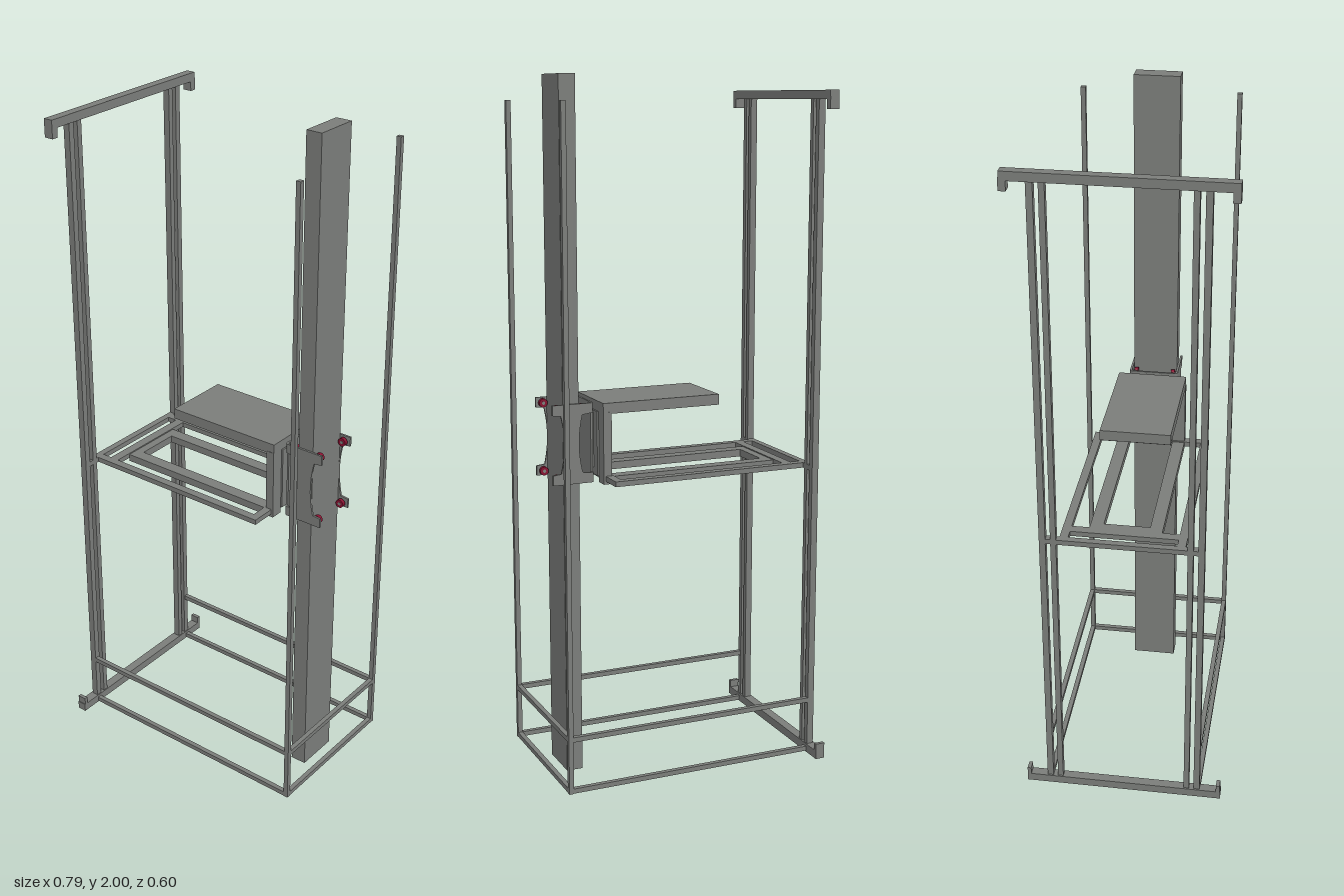
import * as THREE from 'three';

export function createModel() {
  const steel = new THREE.MeshStandardMaterial({ color: 0x7b7d7a });
  steel.name = 'steel grey';
  const red = new THREE.MeshStandardMaterial({ color: 0x85102f });
  red.name = 'roller red';

  const model = new THREE.Group();
  model.name = 'liftFrame';
  const assembly = (name) => {
    const g = new THREE.Group();
    g.name = name;
    g.position.z = -0.003;
    model.add(g);
    return g;
  };

  // Box given by its limits along x, y and z
  const bar = (parent, name, x0, x1, y0, y1, z0, z1) => {
    const m = new THREE.Mesh(new THREE.BoxGeometry(x1 - x0, y1 - y0, z1 - z0), steel);
    m.position.set((x0 + x1) / 2, (y0 + y1) / 2, (z0 + z1) / 2);
    m.name = name;
    parent.add(m);
  };
  // The same box on both sides of z = 0
  const pair = (parent, name, x0, x1, y0, y1, z0, z1) => {
    bar(parent, name, x0, x1, y0, y1, z0, z1);
    bar(parent, name, x0, x1, y0, y1, -z1, -z0);
  };

  // Main column
  const frame = assembly('fixedFrame');
  bar(frame, 'column', 0.29, 0.338, 0, 2, -0.065, 0.067);

  // Twin guide posts with hooked beams at head and foot
  pair(frame, 'outerGuidePost', -0.39, -0.37, 0.02, 1.94, 0.214, 0.232);
  pair(frame, 'innerGuidePost', -0.39, -0.37, 0.02, 1.94, 0.184, 0.2);
  bar(frame, 'headBeam', -0.395, -0.367, 1.932, 1.957, -0.298, 0.3);
  pair(frame, 'headBeamHook', -0.395, -0.367, 1.905, 1.94, 0.28, 0.3);
  bar(frame, 'footBeam', -0.395, -0.367, 0.003, 0.028, -0.286, 0.295);
  pair(frame, 'footBeamHook', -0.395, -0.367, 0.003, 0.05, 0.282, 0.293);

  // Thin far posts and the two rail levels of the base
  pair(frame, 'farPost', 0.379, 0.393, 0.005, 1.93, 0.218, 0.232);
  for (const y of [0.006, 0.16]) {
    pair(frame, 'baseSideRail', -0.375, 0.385, y, y + 0.014, 0.218, 0.232);
    bar(frame, 'baseEndRail', 0.379, 0.393, y, y + 0.014, -0.23, 0.23);
  }

  // Outer platform frame
  const platform = assembly('platformFrame');
  bar(platform, 'platformGuideBar', -0.39, -0.37, 0.871, 0.886, -0.215, 0.215);
  pair(platform, 'platformArm', -0.38, 0.224, 0.871, 0.886, 0.153, 0.177);
  bar(platform, 'platformNearBar', -0.34, -0.312, 0.871, 0.886, -0.16, 0.16);
  bar(platform, 'platformFarBar', 0.2, 0.224, 0.871, 0.886, -0.17, 0.17);

  // Inner fork, its uprights and the top plate
  const carriage = assembly('carriage');
  pair(carriage, 'forkArm', -0.31, 0.23, 0.862, 0.884, 0.066, 0.103);
  bar(carriage, 'forkEnd', -0.31, -0.285, 0.862, 0.884, -0.09, 0.09);
  pair(carriage, 'forkUpright', 0.205, 0.23, 0.865, 1.07, 0.066, 0.103);
  bar(carriage, 'topPlate', -0.13, 0.23, 1.065, 1.096, -0.102, 0.102);
  bar(carriage, 'backPanel', 0.21, 0.235, 0.88, 1.067, -0.066, 0.066);
  bar(carriage, 'couplingBlock', 0.217, 0.25, 0.9, 1.06, -0.038, 0.045);

  // Waisted bracket plates on both sides of the column, joined by a web
  const s = new THREE.Shape();
  s.moveTo(0.258, 0.865);
  s.lineTo(0.371, 0.865);
  s.lineTo(0.371, 0.894);
  s.lineTo(0.346, 0.897);
  s.quadraticCurveTo(0.326, 0.98, 0.346, 1.063);
  s.lineTo(0.371, 1.066);
  s.lineTo(0.371, 1.095);
  s.lineTo(0.258, 1.095);
  s.lineTo(0.258, 1.066);
  s.lineTo(0.282, 1.063);
  s.quadraticCurveTo(0.302, 0.98, 0.282, 0.897);
  s.lineTo(0.258, 0.894);
  s.closePath();
  const plateGeo = new THREE.ExtrudeGeometry(s, { depth: 0.006, bevelEnabled: false, curveSegments: 12 });
  for (const z of [0.067, -0.073]) {
    const plate = new THREE.Mesh(plateGeo, steel);
    plate.name = 'bracketPlate';
    plate.position.z = z;
    carriage.add(plate);
  }
  bar(carriage, 'bracketWeb', 0.247, 0.253, 0.865, 1.095, -0.062, 0.062);
  // Rounded corners of the bracket, at the top and bottom bands
  for (const y of [0.865, 1.066]) {
    for (const side of [1, -1]) {
      const c = new THREE.Shape();
      c.moveTo(0.247, side * 0.061);
      c.quadraticCurveTo(0.247, side * 0.073, 0.259, side * 0.073);
      c.lineTo(0.259, side * 0.067);
      c.quadraticCurveTo(0.253, side * 0.067, 0.253, side * 0.061);
      c.closePath();
      const corner = new THREE.Mesh(new THREE.ExtrudeGeometry(c, { depth: 0.029, bevelEnabled: false }), steel);
      corner.name = 'bracketCorner';
      corner.rotation.x = -Math.PI / 2;
      corner.position.y = y;
      carriage.add(corner);
    }
  }

  // Guide rollers and their axle stubs
  const rollerGeo = new THREE.CylinderGeometry(0.0125, 0.0125, 0.011, 20).rotateX(Math.PI / 2);
  const stubGeo = new THREE.CylinderGeometry(0.005, 0.005, 0.02, 12).rotateX(Math.PI / 2);
  for (const x of [0.277, 0.353]) for (const y of [0.88, 1.08]) for (const side of [1, -1]) {
    const roller = new THREE.Mesh(rollerGeo, red);
    roller.name = 'guideRoller';
    roller.position.set(x, y, side * 0.056);
    const stub = new THREE.Mesh(stubGeo, steel);
    stub.name = 'rollerAxle';
    stub.position.set(x, y, side * 0.06);
    carriage.add(roller, stub);
  }
  return model;
}
